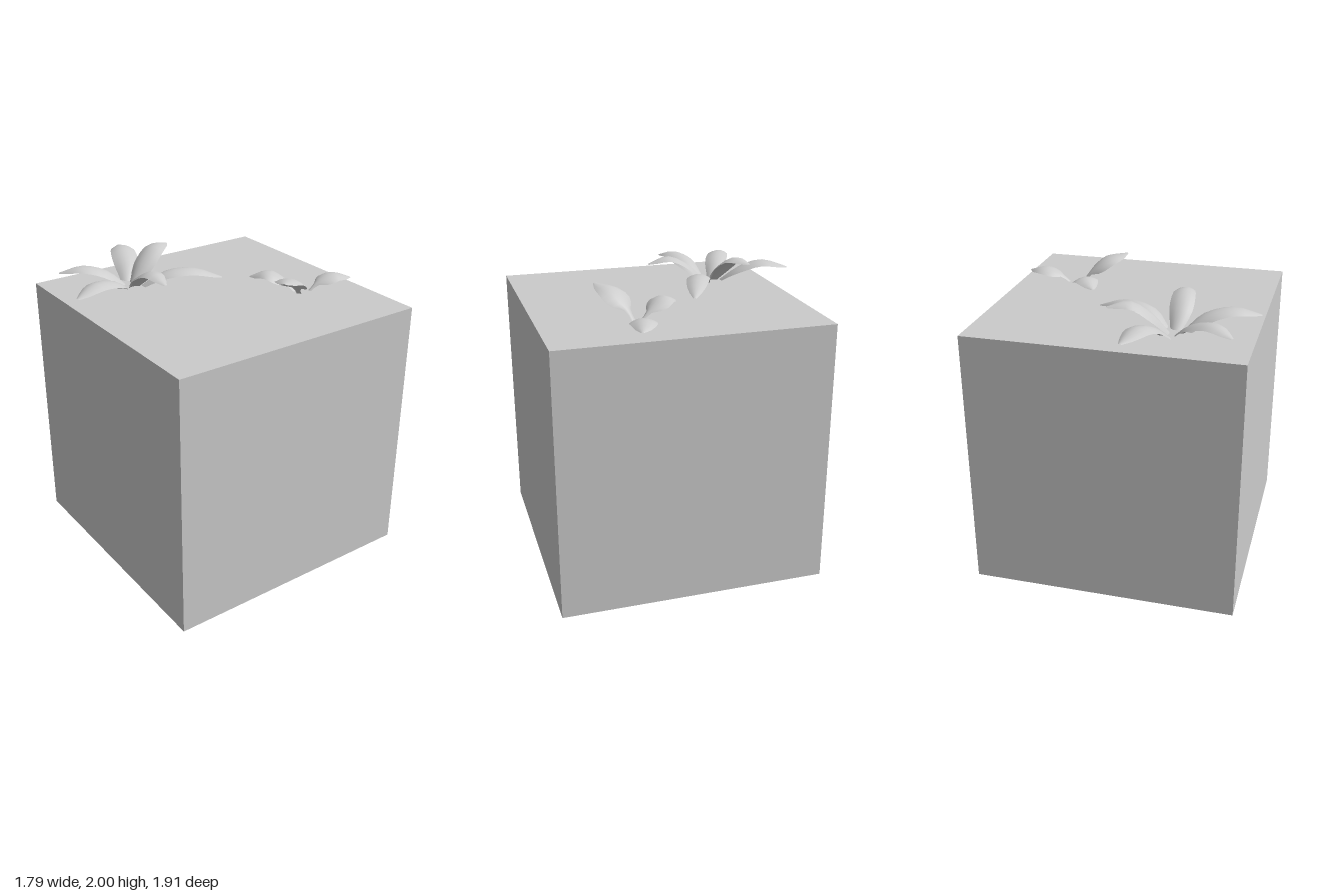
import * as THREE from 'three';

const material = new THREE.MeshStandardMaterial({ color: 0xcccccc, side: THREE.DoubleSide });
const UP = new THREE.Vector3(0, 1, 0);

// Half-width along a leaf (base to tip), as a share of its widest half-width
const LONG_LEAF = [0.42, 0.6, 0.82, 0.96, 1, 0.98, 0.92, 0.78, 0.52, 0.14];
const STEMMED_LEAF = [0.16, 0.17, 0.3, 0.78, 0.98, 1, 0.93, 0.78, 0.52, 0.12];

// Arched leaf blade that follows a crest line and droops towards both edges
function leaf(name, points, halfWidth, profile) {
  const path = new THREE.CatmullRomCurve3(points.map((p) => new THREE.Vector3(...p)));
  const rows = profile.length - 1;
  const geometry = new THREE.PlaneGeometry(2, 1, 6, rows);
  const pos = geometry.attributes.position;
  for (let i = 0; i < pos.count; i++) {
    const s = pos.getX(i);
    const t = THREE.MathUtils.clamp(pos.getY(i) + 0.5, 0, 1);
    const w = halfWidth * profile[Math.round(t * rows)];
    const tangent = path.getTangentAt(t);
    const side = new THREE.Vector3().crossVectors(tangent, UP).normalize();
    const normal = new THREE.Vector3().crossVectors(side, tangent);
    const p = path.getPointAt(t)
      .addScaledVector(side, s * w)
      .addScaledVector(normal, -0.35 * w * s * s);
    pos.setXYZ(i, p.x, p.y, p.z);
  }
  geometry.computeVertexNormals();
  const mesh = new THREE.Mesh(geometry, material);
  mesh.name = name;
  return mesh;
}

function plant(name, leaves, profile) {
  const group = new THREE.Group();
  group.name = name;
  leaves.forEach(([halfWidth, ...points], i) =>
    group.add(leaf(`${name}Leaf${i + 1}`, points, halfWidth, profile)));
  return group;
}

export function createModel() {
  const model = new THREE.Group();
  model.name = 'plantedBlock';

  // Ground block
  const block = new THREE.Mesh(new THREE.BoxGeometry(1.785, 1.785, 1.785), material);
  block.name = 'groundBlock';
  block.position.set(0, 0.8925, 0.0625);
  model.add(block);

  // Rosette of six long leaves: half-width, then crest points from base to tip
  model.add(plant('rosette', [
    [0.09, [-0.365, 1.775, -0.5], [-0.29, 1.885, -0.63], [-0.235, 1.935, -0.78], [-0.17, 1.89, -0.95]],
    [0.078, [-0.39, 1.775, -0.46], [-0.5, 1.88, -0.525], [-0.65, 1.925, -0.6], [-0.78, 1.88, -0.69]],
    [0.088, [-0.36, 1.775, -0.44], [-0.25, 1.91, -0.48], [-0.12, 1.995, -0.53], [0.01, 1.97, -0.59]],
    [0.088, [-0.43, 1.775, -0.405], [-0.56, 1.885, -0.33], [-0.73, 1.92, -0.27], [-0.89, 1.87, -0.215]],
    [0.08, [-0.33, 1.775, -0.395], [-0.18, 1.88, -0.3], [0, 1.89, -0.22], [0.18, 1.815, -0.145]],
    [0.078, [-0.38, 1.775, -0.41], [-0.385, 1.9, -0.28], [-0.38, 1.97, -0.13], [-0.38, 1.925, 0.02]],
  ], LONG_LEAF));

  // Sprout of three stemmed leaves
  model.add(plant('sprout', [
    [0.088, [0.47, 1.78, 0.305], [0.42, 1.86, 0.21], [0.36, 1.9, 0.13], [0.285, 1.85, 0.03]],
    [0.088, [0.54, 1.78, 0.345], [0.64, 1.85, 0.35], [0.74, 1.875, 0.36], [0.86, 1.835, 0.4]],
    [0.105, [0.465, 1.78, 0.345], [0.395, 1.875, 0.385], [0.3, 1.955, 0.44], [0.175, 1.97, 0.53]],
  ], STEMMED_LEAF));

  return model;
}
